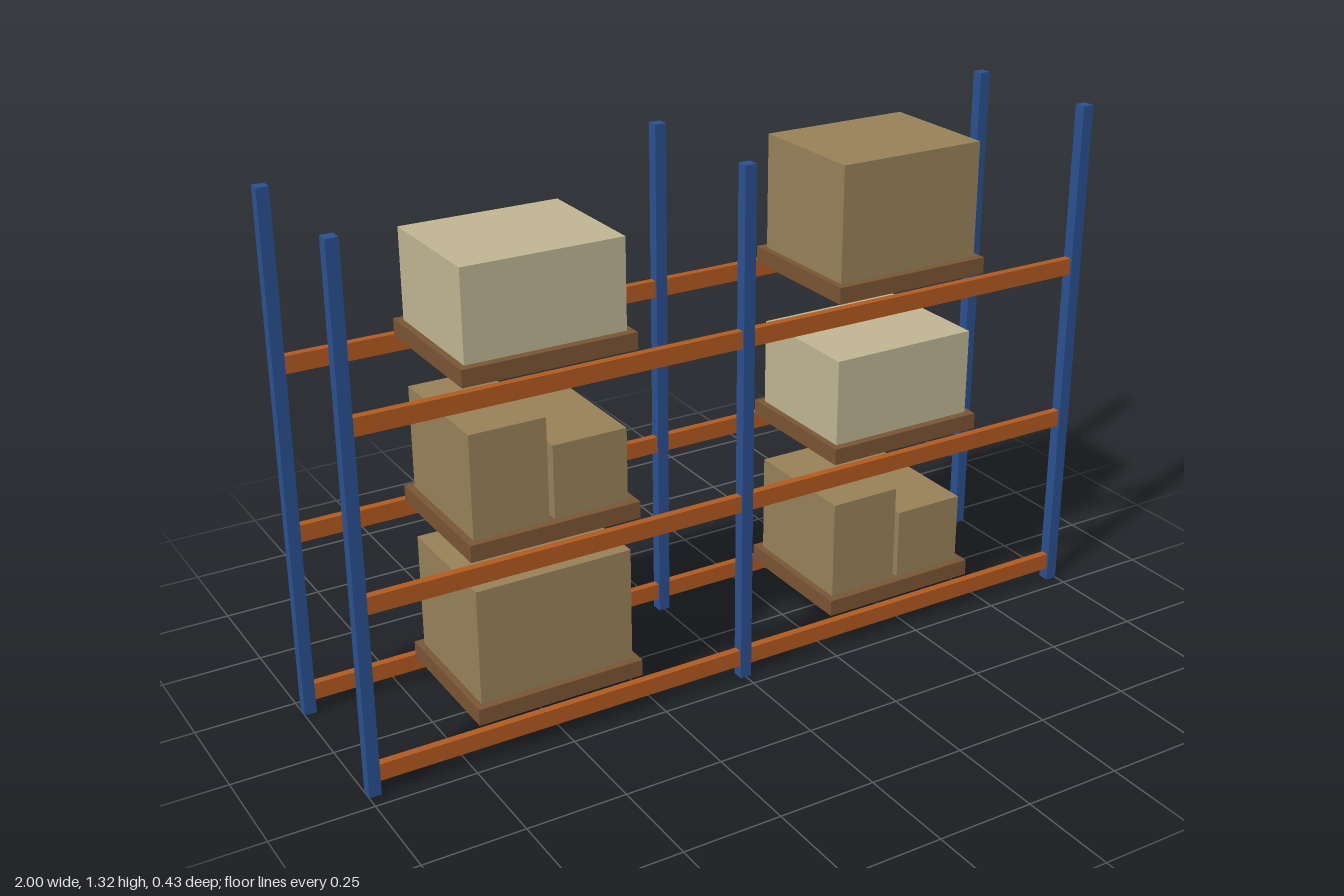
import * as THREE from 'three';

const mat = (name, color) => Object.assign(new THREE.MeshStandardMaterial({ color }), { name });

export function createModel() {
  const blue = mat('uprightBlue', 0x2a5091);
  const orange = mat('beamOrange', 0xb35a1f);
  const wood = mat('palletWood', 0x7a5535);
  const brown = mat('cartonBrown', 0x988159);
  const tan = mat('cartonTan', 0xc0b693);

  const model = new THREE.Group();
  model.name = 'palletRack';

  // Box placed by its centre in x and z and by its underside in y
  function box(parent, name, material, w, h, d, x, y, z) {
    const mesh = new THREE.Mesh(new THREE.BoxGeometry(w, h, d), material);
    mesh.name = name;
    mesh.position.set(x, y + h / 2, z);
    parent.add(mesh);
  }

  const postX = 0.985, rowZ = 0.2, bayX = 0.4925;
  const beamH = 0.043, palletH = 0.042;
  const shelfTops = [0.076, 0.5, 0.921];

  // Uprights and the beams spanning each bay
  for (const z of [-rowZ, rowZ]) {
    for (const x of [-postX, 0, postX]) box(model, 'upright', blue, 0.03, 1.316, 0.03, x, 0, z);
    for (const x of [-bayX, bayX]) {
      for (const top of shelfTops) box(model, 'beam', orange, postX - 0.03, beamH, 0.02, x, top - beamH, z);
    }
  }

  // Loads: each carton is [x offset, width, height, material]
  const large = [[0, 0.4, 0.293, brown]];
  const low = [[0, 0.4, 0.222, tan]];
  const pair = [[-0.104, 0.19, 0.257, brown], [0.1, 0.19, 0.184, brown]];
  const bays = [[-bayX, [large, pair, low]], [bayX, [pair, low, large]]];

  for (const [x, loads] of bays) {
    loads.forEach((cartons, level) => {
      const load = new THREE.Group();
      load.name = 'palletLoad';
      load.position.set(x, shelfTops[level], 0);
      box(load, 'pallet', wood, 0.433, palletH, 0.366, 0, 0, 0);
      for (const [dx, w, h, material] of cartons) box(load, 'carton', material, w, h, 0.324, dx, palletH, 0);
      model.add(load);
    });
  }
  return model;
}
